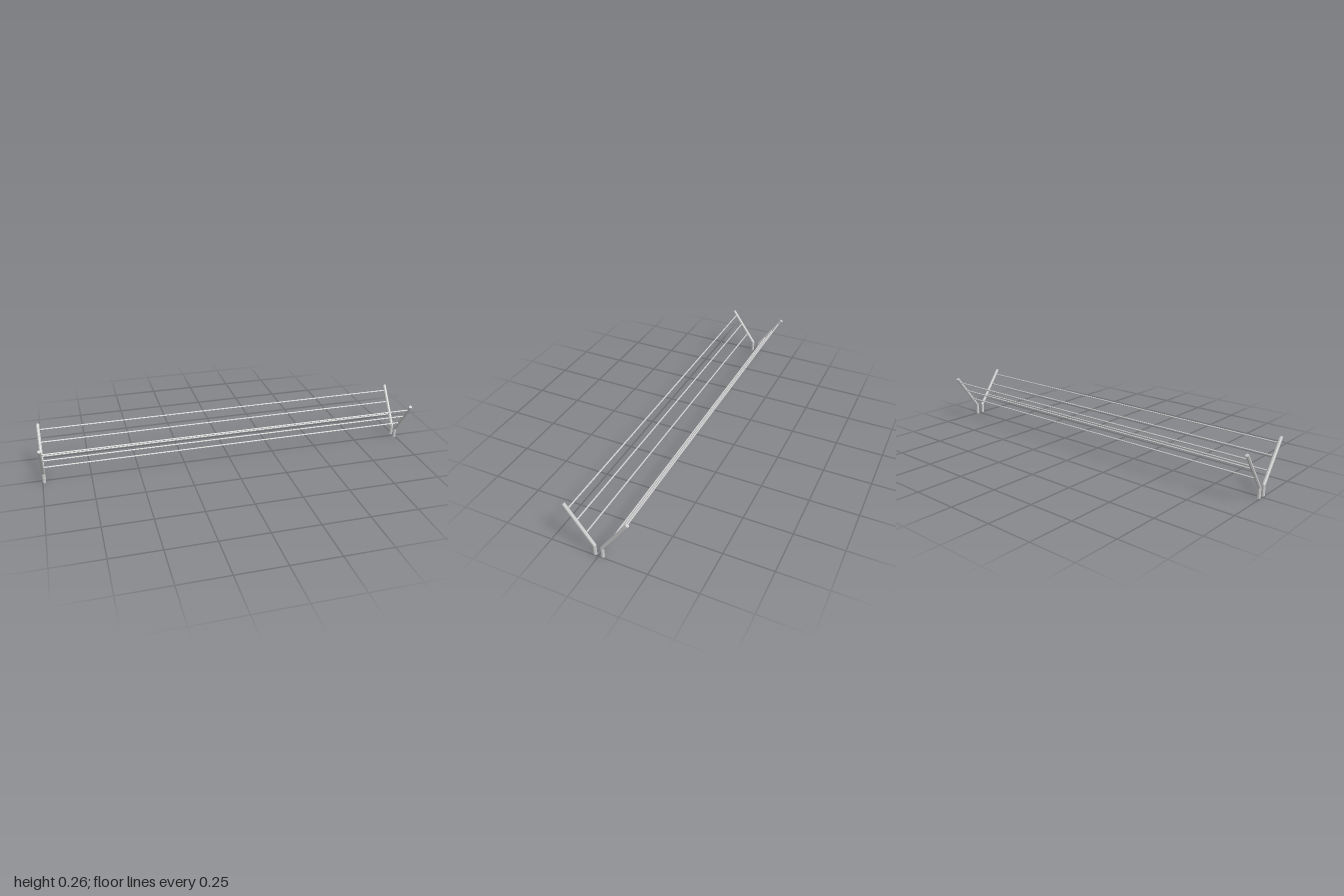
import * as THREE from 'three';

const POST_X = 0.9917, POST_R = 0.009, WIRE_R = 0.004, SIDES = 8;
const FOOT = new THREE.Vector2(0.02, 0);      // (z, y) points of the post's centre line
const BEND = new THREE.Vector2(0.02, 0.0545);
const TIP = new THREE.Vector2(0.16, 0.2525);

// Eight-sided rod with flats facing the axes
function rod(radius, length, segments) {
  return new THREE.CylinderGeometry(radius, radius, length, SIDES, segments, false, Math.PI / SIDES);
}

// Post with a mitred bend: a rod whose three rings follow the centre line
function bentPost() {
  const geo = rod(POST_R, 2, 2);
  const lean = Math.atan2(TIP.x - BEND.x, TIP.y - BEND.y);
  const rings = [
    { at: FOOT, tilt: 0, stretch: 1 },
    { at: BEND, tilt: lean / 2, stretch: 1 / Math.cos(lean / 2) },
    { at: TIP, tilt: lean, stretch: 1 },
  ];
  const p = geo.attributes.position;
  for (let i = 0; i < p.count; i++) {
    const { at, tilt, stretch } = rings[Math.round(p.getY(i)) + 1];
    const offset = p.getZ(i) * stretch;
    p.setY(i, at.y - offset * Math.sin(tilt));
    p.setZ(i, at.x + offset * Math.cos(tilt));
  }
  return geo;
}

// Flat facets
function faceted(geo) {
  const flat = geo.toNonIndexed();
  flat.computeVertexNormals();
  return flat;
}

export function createModel() {
  const model = new THREE.Group();
  model.name = 'wireFence';
  const material = new THREE.MeshStandardMaterial({ color: 0xcccccc, flatShading: true });
  const postGeo = faceted(bentPost());
  const wireGeo = faceted(rod(WIRE_R, 2 * POST_X, 1).rotateZ(Math.PI / 2));

  // Two identical rows leaning away from each other
  for (const side of ['front', 'back']) {
    const row = new THREE.Group();
    row.name = side + 'Row';

    // Bent end posts
    for (const s of [-1, 1]) {
      const post = new THREE.Mesh(postGeo, material);
      post.name = 'post';
      post.position.x = s * POST_X;
      row.add(post);
    }

    // Wires strung along the leaning part
    for (const [y, z] of [[0.11, 0.061], [0.1705, 0.1035], [0.2255, 0.1425]]) {
      const wire = new THREE.Mesh(wireGeo, material);
      wire.name = 'wire';
      wire.position.set(0, y, z);
      row.add(wire);
    }

    if (side === 'back') row.rotation.y = Math.PI;
    model.add(row);
  }
  return model;
}
